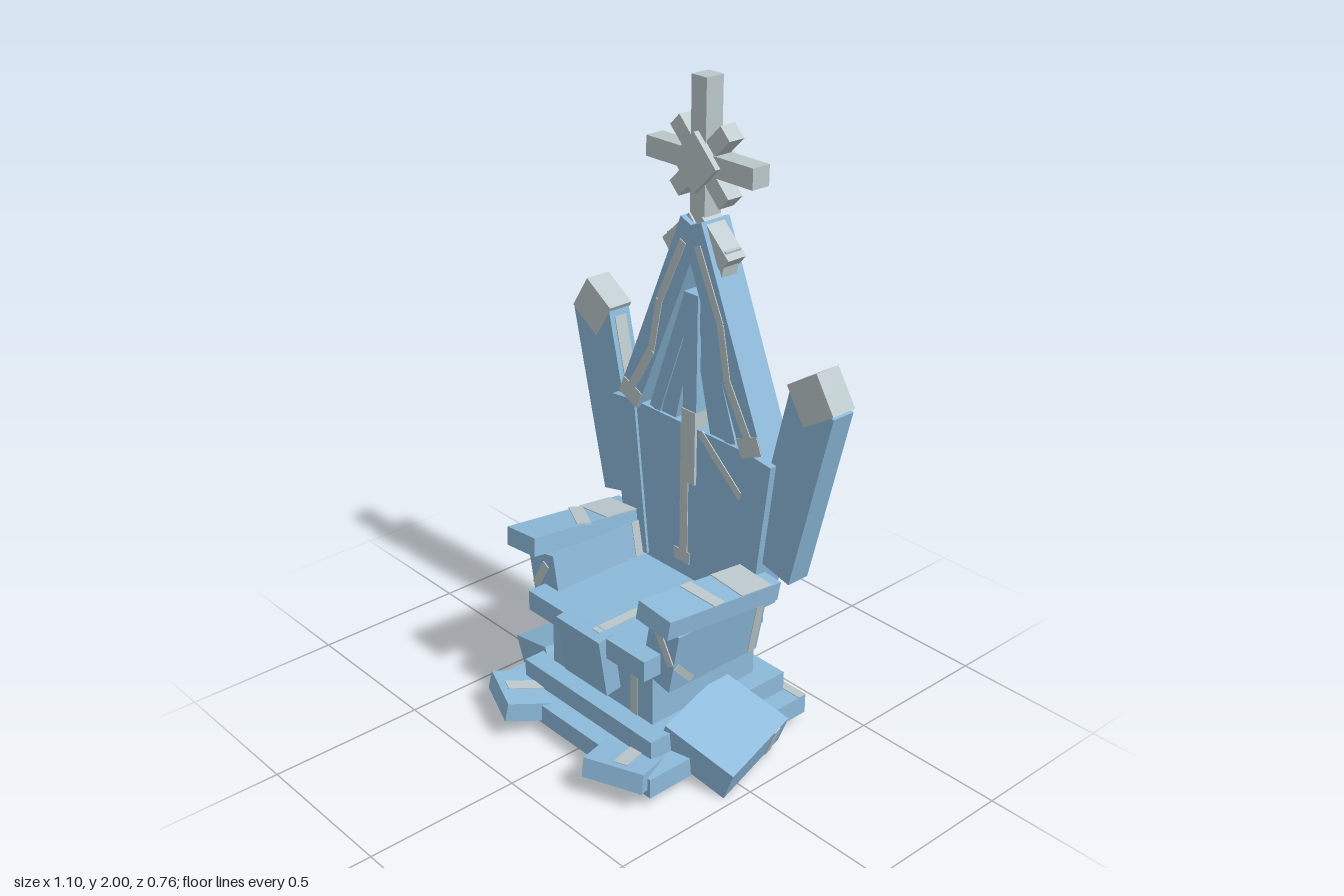
import * as THREE from 'three';

const ice = new THREE.MeshStandardMaterial({ color: 0x8cb9d9 });
ice.name = 'ice blue';
const pale = new THREE.MeshStandardMaterial({ color: 0xbac7ca });
pale.name = 'pale stone';

export function createModel() {
  const root = new THREE.Group();
  root.name = 'throne';

  // Box with a name, size, centre and rotation (order ZYX)
  const box = (name, mat, size, pos, rot = [0, 0, 0], parent = root) => {
    const m = new THREE.Mesh(new THREE.BoxGeometry(...size), mat);
    m.name = name;
    m.position.set(...pos);
    m.rotation.set(rot[0], rot[1], rot[2], 'ZYX');
    parent.add(m);
    return m;
  };
  // Same box on the left (s = 1) or right (s = -1)
  const sideBox = (s, name, mat, size, [x, y, z], [rx, ry, rz] = [0, 0, 0]) =>
    box(name, mat, size, [s * x, y, z], [rx, s * ry, s * rz]);
  // Thin pale stripe from a to b on a plane facing z or y
  const T = 0.006;
  const veinZ = (parent, z, a, b, w) => {
    const dx = b[0] - a[0], dy = b[1] - a[1];
    box('vein', pale, [w, Math.hypot(dx, dy), T], [(a[0] + b[0]) / 2, (a[1] + b[1]) / 2, z],
      [0, 0, -Math.atan2(dx, dy)], parent);
  };
  const veinY = (parent, y, a, b, w) => {
    const dx = b[0] - a[0], dz = b[1] - a[1];
    box('vein', pale, [w, T, Math.hypot(dx, dz)], [(a[0] + b[0]) / 2, y, (a[1] + b[1]) / 2],
      [0, Math.atan2(dx, dz), 0], parent);
  };

  // Stepped base, pedestal and seat
  box('baseSlab', ice, [0.72, 0.065, 0.65], [0, 0.063, -0.053]);
  veinY(root, 0.095, [-0.36, -0.363], [0.36, -0.363], 0.03);
  box('baseStep', ice, [0.59, 0.065, 0.555], [0, 0.128, -0.068]);
  box('pedestal', ice, [0.46, 0.21, 0.42], [0, 0.26, -0.064]);
  veinZ(root, 0.146, [0.15, 0.16], [0.15, 0.36], 0.028);
  veinZ(root, 0.146, [-0.17, 0.34], [-0.05, 0.22], 0.02);
  veinZ(root, 0.146, [-0.05, 0.16], [-0.05, 0.21], 0.034);
  box('seat', ice, [0.53, 0.067, 0.485], [0, 0.392, -0.032]);
  veinY(root, 0.426, [0.048, -0.2], [0.048, 0.208], 0.033);
  veinY(root, 0.426, [0.06, -0.08], [0.225, 0.05], 0.028);
  box('frontDrape', ice, [0.196, 0.2, 0.055], [0, 0.327, 0.197], [0.15, 0, 0]);

  // Backrest panel, wider at the top
  const shape = new THREE.Shape([[-0.19, 0.4], [0.19, 0.4], [0.245, 0.945], [-0.245, 0.945]]
    .map(p => new THREE.Vector2(...p)));
  const panel = new THREE.Mesh(
    new THREE.ExtrudeGeometry(shape, { depth: 0.09, bevelEnabled: false }), ice);
  panel.name = 'backrestPanel';
  panel.position.z = -0.3;
  root.add(panel);
  for (const z of [-0.21, -0.3]) {
    veinZ(root, z, [-0.022, 0.5], [-0.022, 0.945], 0.034);
    veinZ(root, z, [-0.065, 0.492], [0.005, 0.492], 0.04);
    veinZ(root, z, [0.045, 0.94], [0.22, 0.79], 0.026);
  }

  // Upright in the middle of the gable, pale at its lower end
  box('gableUpright', ice, [0.058, 0.37, 0.1], [0, 1.185, -0.255]);
  box('gableUprightFoot', pale, [0.058, 0.24, 0.108], [0, 0.88, -0.255]);

  for (const s of [1, -1]) {
    // Arm panel and armrest
    const arm = sideBox(s, 'armPanel', ice, [0.12, 0.21, 0.357], [0.262, 0.425, -0.032], [0, 0, -0.19]);
    veinZ(arm, 0.179, [-s * 0.02, 0.07], [s * 0.05, -0.01], 0.028);
    box('armVein', pale, [0.124, 0.21, 0.03], [0, 0, -0.155], [0, 0, 0], arm);
    box('armVeinSlant', pale, [T, 0.11, 0.022], [s * 0.06, -0.05, 0.13], [0.75, 0, 0], arm);
    const rest = sideBox(s, 'armrest', ice, [0.133, 0.06, 0.45], [0.297, 0.558, -0.015], [-0.11, 0, -0.1]);
    veinY(rest, 0.03, [0, -0.185], [0, -0.06], 0.133);
    veinY(rest, 0.03, [-0.066, s * 0.045], [0.066, 0.03], 0.045);

    // Tilted rock blocks beside the base
    const rock = sideBox(s, 'sideRock', ice, [0.25, 0.105, 0.31], [0.34, 0.102, -0.04], [0, 0.245, -0.37]);
    box('rockVein', pale, [T, 0.105, 0.03], [s * 0.125, 0, -0.09], [0, 0, 0], rock);

    // Splayed front feet
    const foot = sideBox(s, 'frontFoot', ice, [0.195, 0.062, 0.25], [0.224, 0.069, 0.225], [0, 0, 0]);
    foot.rotation.set(-0.2, s * 0.39, 0, 'YXZ');
    veinY(foot, 0.031, [s * 0.01, -0.12], [s * 0.01, 0.1], 0.045);

    // Leaning slat along the backrest
    sideBox(s, 'backrestSlat', ice, [0.1, 0.52, 0.108], [0.262, 0.687, -0.255], [0, 0, -0.12]);

    // Outer wing with a pale pointed tip
    const wing = sideBox(s, 'wing', ice, [0.17, 0.6, 0.08], [0.397, 0.886, -0.264], [0, 0, -0.236]);
    box('wingInnerFace', pale, [T, 0.55, 0.045], [-s * 0.085, 0, 0], [0, 0, 0], wing);
    sideBox(s, 'wingTip', pale, [0.128, 0.128, 0.088], [0.463, 1.187, -0.264], [0, 0, 0.57]);

    // Gable beam with pale veins and foot
    const beam = sideBox(s, 'gableBeam', ice, [0.09, 0.685, 0.11], [0.134, 1.263, -0.255], [0, 0, 0.4]);
    for (const z of [-0.055, 0.055]) {
      veinZ(beam, z, [s * 0.005, 0.28], [s * 0.015, 0.05], 0.026);
      veinZ(beam, z, [s * 0.015, 0.05], [-s * 0.02, -0.12], 0.026);
      veinZ(beam, z, [-s * 0.02, -0.12], [s * 0.005, -0.3], 0.03);
      veinZ(beam, z, [0, -0.343], [0, -0.285], 0.088);
    }

    // Fan of thin slats inside the gable
    sideBox(s, 'outerFanSlat', ice, [0.045, 0.44, 0.08], [0.09, 1.152, -0.255], [0, 0, 0.345]);
    sideBox(s, 'innerFanSlat', ice, [0.06, 0.34, 0.07], [0.07, 1.09, -0.255], [0, 0, 0.24]);

    // Small pale shoulder at the peak
    sideBox(s, 'peakShoulder', pale, [0.15, 0.05, 0.07], [0.065, 1.535, -0.252], [0, 0, -0.75]);
    sideBox(s, 'peakHook', pale, [0.032, 0.085, 0.06], [0.098, 1.485, -0.252], [0, 0, -0.2]);
  }

  // Star finial
  const star = new THREE.Group();
  star.name = 'starFinial';
  star.position.set(0, 1.757, -0.256);
  root.add(star);
  box('starUpright', pale, [0.06, 0.423, 0.064], [0, 0.0315, 0], [0, 0, 0], star);
  box('starCrossbar', pale, [0.43, 0.062, 0.064], [0, 0, 0], [0, 0, 0], star);
  for (const s of [1, -1])
    box('starDiagonal', pale, [0.285, 0.052, 0.056], [0, 0, 0], [0, 0, s * Math.PI / 4], star);
  box('starCentre', pale, [0.127, 0.127, 0.1], [0, 0, 0], [0, 0, Math.PI / 4], star);

  return root;
}
